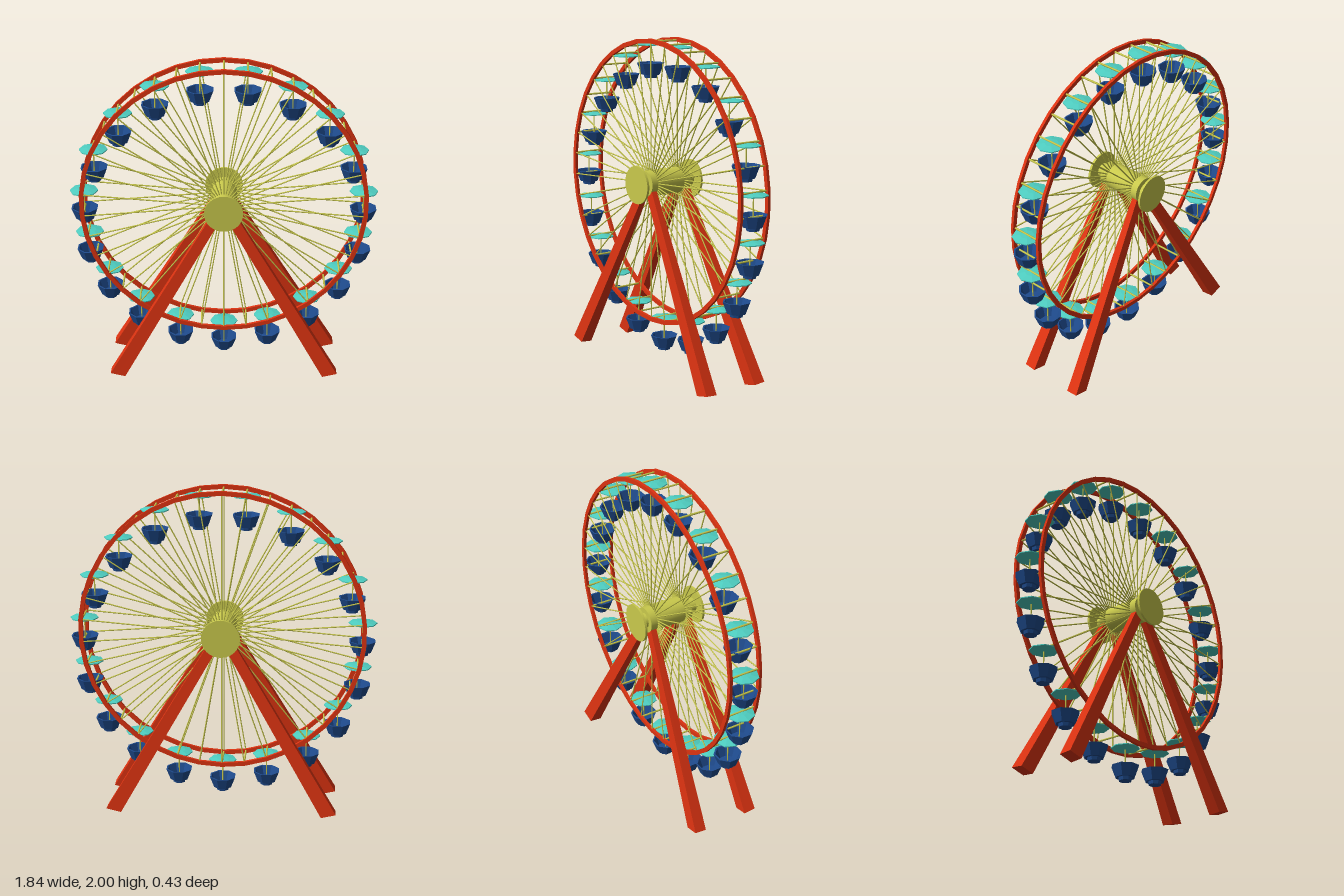
import * as THREE from 'three';
import { toCreasedNormals } from 'three/addons/utils/BufferGeometryUtils.js';

const material = (name, color) => {
  const m = new THREE.MeshStandardMaterial({ color });
  m.name = name;
  return m;
};

const CENTER_Y = 1.14;
const CABINS = 19;
const SPOKES = CABINS * 2;
const RIM_Z = 0.097;

export function createModel() {
  const red = material('red', 0xdd3311);
  const yellow = material('yellow', 0xc9c94c);
  const teal = material('teal', 0x4fcfc2);
  const blue = material('blue', 0x1f4c8f);

  const model = new THREE.Group();
  model.name = 'ferrisWheel';

  const add = (parent, name, geometry, mat, x = 0, y = 0, z = 0) => {
    const mesh = new THREE.Mesh(geometry, mat);
    mesh.name = name;
    mesh.position.set(x, y, z);
    parent.add(mesh);
    return mesh;
  };

  // Faceted solid of revolution from [radius, height] pairs
  const faceted = (points, sides, start = 0) => toCreasedNormals(
    new THREE.LatheGeometry(points.map(([r, h]) => new THREE.Vector2(r, h)), sides, start), 0.02);

  // Wheel, with its origin on the axle
  const wheel = new THREE.Group();
  wheel.name = 'wheel';
  wheel.position.y = CENTER_Y;
  model.add(wheel);

  // Two rims of square section
  const rim = faceted([[0.834, -0.009], [0.86, -0.009], [0.86, 0.009], [0.834, 0.009], [0.834, -0.009]], SPOKES);
  rim.rotateX(Math.PI / 2);
  for (const s of [-1, 1]) add(wheel, 'rim', rim, red, 0, 0, s * RIM_Z);

  // Spokes on both sides and crossbars between the rims
  const spoke = new THREE.CylinderGeometry(0.004, 0.004, 0.78, 6);
  spoke.translate(0, -0.45, 0);
  const crossbar = new THREE.CylinderGeometry(0.006, 0.006, RIM_Z * 2, 6);
  crossbar.rotateX(Math.PI / 2).translate(0, -0.843, 0);
  for (let i = 0; i < SPOKES; i++) {
    const angle = (i / SPOKES) * Math.PI * 2;
    for (const s of [-1, 1]) add(wheel, 'spoke', spoke, yellow, 0, 0, s * RIM_Z).rotation.z = angle;
    add(wheel, 'crossbar', crossbar, yellow).rotation.z = angle;
  }

  // Hub: drum, axle and end discs
  const barrel = (radius, length) =>
    new THREE.CylinderGeometry(radius, radius, length, 32).rotateX(Math.PI / 2);
  add(wheel, 'hubDrum', barrel(0.078, 0.285), yellow);
  add(wheel, 'axle', barrel(0.045, 0.39), yellow);
  for (const s of [-1, 1]) add(wheel, 'hubDisc', barrel(0.115, 0.014), yellow, 0, 0, s * 0.198);

  // Cabins hang upright from the crossbars
  const canopy = faceted([[0, -0.022], [0.085, -0.018], [0.085, -0.012], [0.04, -0.003], [0, 0]], 8);
  const basket = faceted([
    [0, -0.215], [0.038, -0.215], [0.042, -0.195], [0.057, -0.195], [0.084, -0.125],
    [0.074, -0.125], [0.05, -0.185], [0, -0.185],
  ], 8, Math.PI / 8);
  const pole = new THREE.CylinderGeometry(0.004, 0.004, 0.18, 6);
  for (let i = 0; i < CABINS; i++) {
    const angle = (i / CABINS) * Math.PI * 2;
    const cabin = new THREE.Group();
    cabin.name = 'cabin';
    cabin.position.set(Math.sin(angle) * 0.84, -Math.cos(angle) * 0.84, 0);
    wheel.add(cabin);
    add(cabin, 'canopy', canopy, teal);
    add(cabin, 'pole', pole, yellow, 0, -0.1, 0);
    add(cabin, 'basket', basket, blue);
  }

  // Tapered legs: a box whose ends are moved to the hub and to the ground
  const leg = (sx, sz) => {
    const g = new THREE.BoxGeometry(2, 2, 2);
    const p = g.attributes.position;
    for (let i = 0; i < p.count; i++) {
      const ox = p.getX(i) * sx; // +1 on the outer side
      const oz = p.getZ(i) * sz;
      if (p.getY(i) > 0) {
        p.setXYZ(i, sx * (0.035 + ox * 0.026), 1.1 + ox * 0.014, sz * (0.122 + oz * 0.018));
      } else {
        p.setXYZ(i, sx * (0.66 + ox * 0.045), 0.014 + ox * 0.011 + oz * 0.003, sz * (0.178 + oz * 0.037));
      }
    }
    return toCreasedNormals(g, 0.3);
  };
  for (const sx of [-1, 1]) {
    for (const sz of [-1, 1]) add(model, sz > 0 ? 'frontLeg' : 'backLeg', leg(sx, sz), red);
  }

  return model;
}
